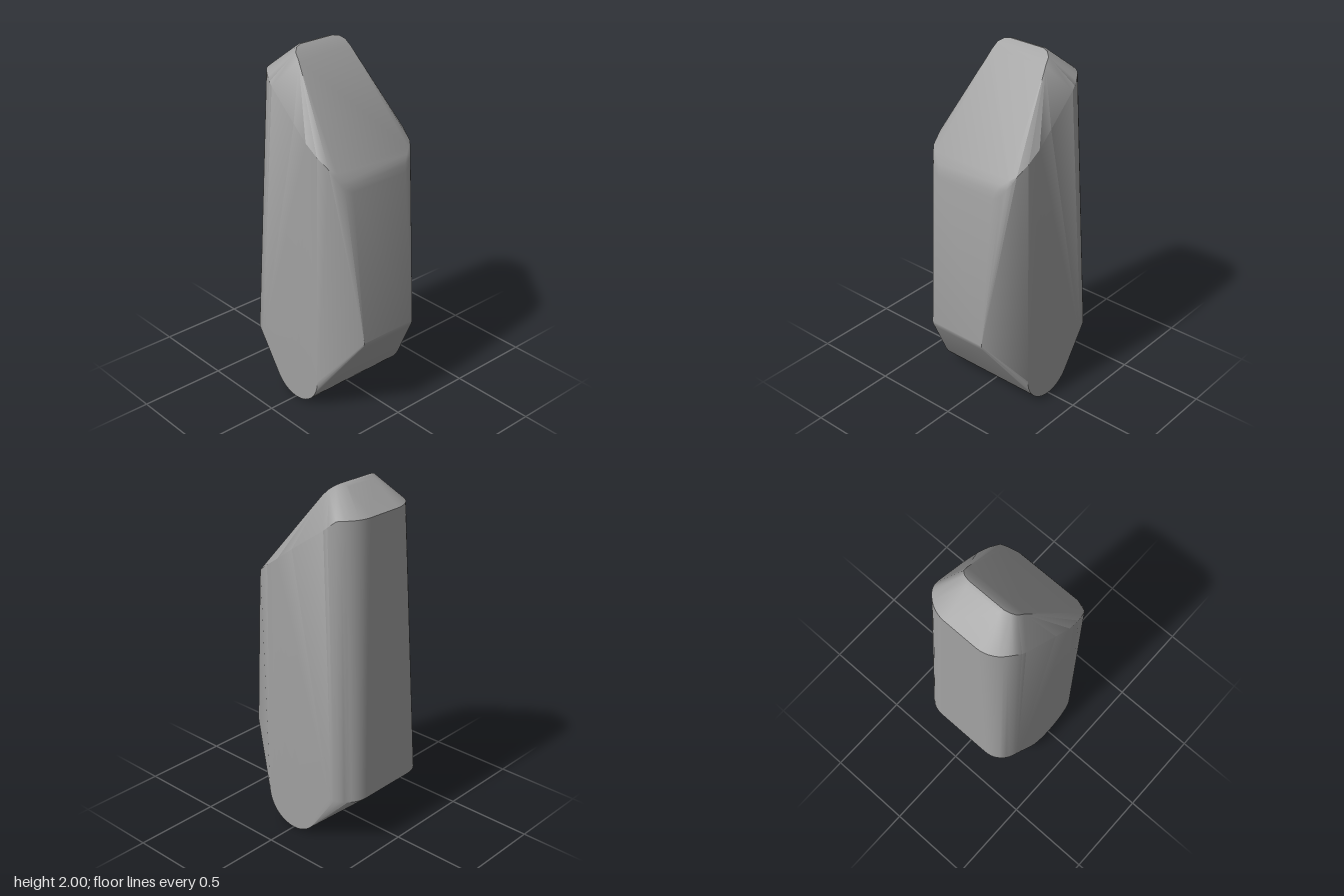
import * as THREE from 'three';
import { ConvexGeometry } from 'three/addons/geometries/ConvexGeometry.js';
import { toCreasedNormals } from 'three/addons/utils/BufferGeometryUtils.js';

export function createModel() {
  const group = new THREE.Group();
  group.name = 'facetedBlock';
  const grey = new THREE.MeshStandardMaterial({ color: 0xa0a0a0 });
  grey.name = 'plain grey';

  // Every outline point is mirrored front to back
  const points = [];
  const add = (x, y, z) => points.push(new THREE.Vector3(x, y, z), new THREE.Vector3(x, y, -z));

  // Rounded foot: a cylinder running front to back
  for (let i = 0; i < 40; i++) {
    const a = (i / 40) * Math.PI * 2;
    add(0.185 * Math.sin(a), 0.185 - 0.185 * Math.cos(a), 0.32);
  }

  // Rounded corners of the lower and upper rims on the -x side
  for (let i = 0; i <= 12; i++) {
    const a = (i / 12) * Math.PI / 2;
    const c = Math.cos(a), s = Math.sin(a);
    add(-0.268 - 0.145 * c, 0.3, 0.175 + 0.145 * s);
    const x = -0.175 - 0.18 * c;
    add(x, 1.86 - Math.max(0, x + 0.27) * 0.84, 0.1 + 0.183 * s);
  }

  // Upper rim where the long walls meet the sloping roof
  add(0.0, 1.66, 0.303);
  add(0.1, 1.585, 0.31);
  add(0.18, 1.53, 0.305);

  // Rounded ridge at the top
  for (const [x, y, z] of [
    [-0.2, 1.985, 0.1], [-0.185, 1.995, 0.105], [-0.165, 2, 0.11],
    [-0.155, 1.993, 0.145], [-0.135, 1.975, 0.17], [-0.1, 1.94, 0.18],
  ]) add(x, y, z);

  // Shoulder: the sloping roof rolls over into the +x wall
  for (const [x, y, z] of [
    [0.25, 1.48, 0.287], [0.27, 1.445, 0.272], [0.272, 1.458, 0.255],
    [0.29, 1.41, 0.252], [0.29, 1.432, 0.225], [0.302, 1.412, 0.205],
    [0.306, 1.375, 0.23], [0.312, 1.388, 0.195], [0.321, 1.35, 0.185],
  ]) add(x, y, z);

  // Softened lower edge of the +x wall
  for (const [x, y] of [[0.41, 0.5], [0.412, 0.485], [0.408, 0.468], [0.398, 0.448]]) {
    add(x, y, 0.18);
  }

  const body = new THREE.Mesh(toCreasedNormals(new ConvexGeometry(points), 0.6), grey);
  body.name = 'body';
  group.add(body);
  return group;
}
